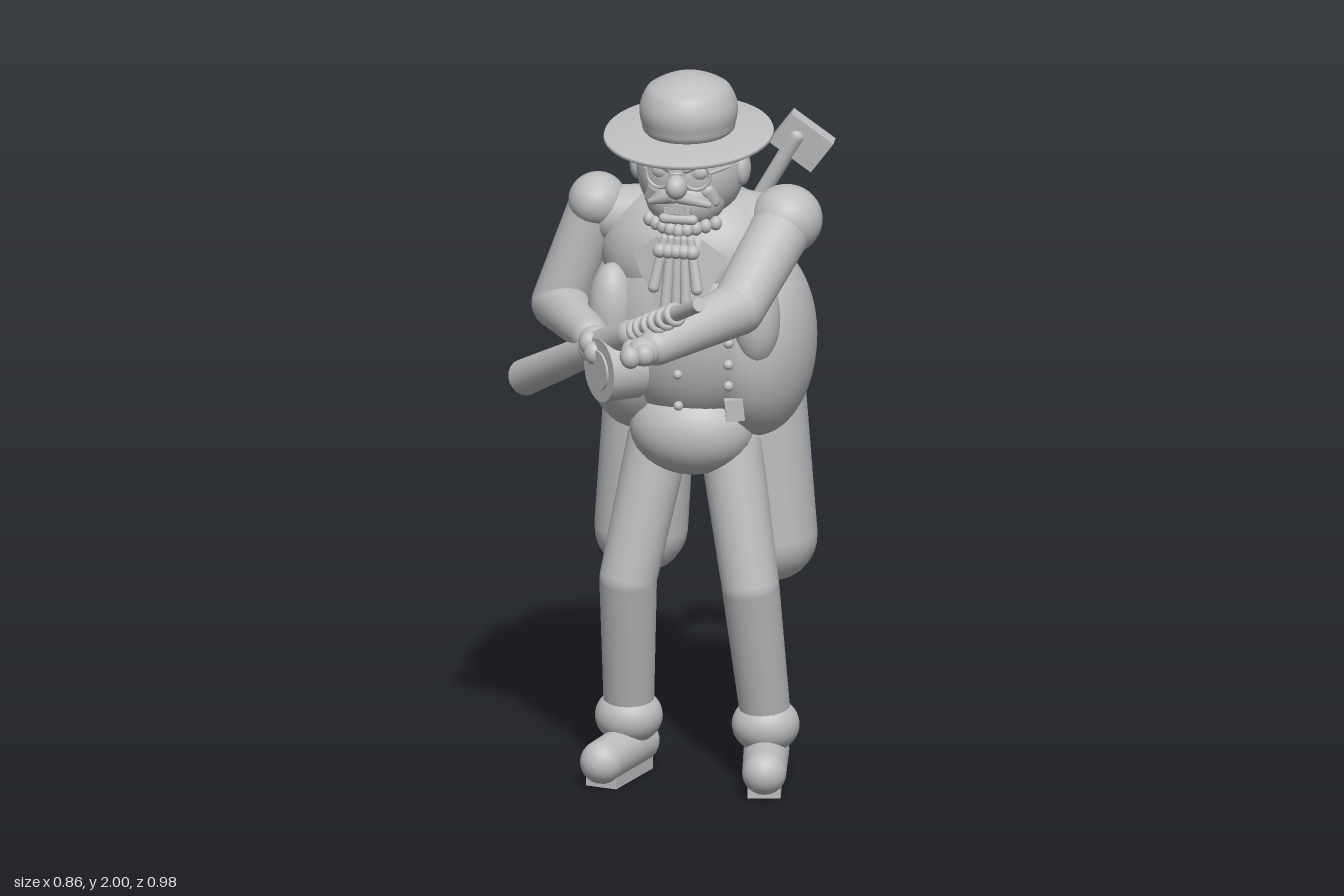
import * as THREE from 'three';

const grey = new THREE.MeshStandardMaterial({ color: 0xbebebe });
grey.name = 'plain grey';
const C = 0.07; // x of the body's middle
const V = (a) => new THREE.Vector3(...a);

export function createModel() {
  const model = new THREE.Group();
  model.name = 'hunter';

  const add = (name, geometry, pos = [0, 0, 0], rot = [0, 0, 0], parent = model) => {
    const m = new THREE.Mesh(geometry, grey);
    m.name = name;
    m.position.set(...pos);
    m.rotation.set(...rot);
    parent.add(m);
    return m;
  };
  const ball = (name, pos, radii, rot) => {
    const m = add(name, new THREE.SphereGeometry(1, 32, 22), pos, rot);
    if (Array.isArray(radii)) m.scale.set(...radii);
    else m.scale.setScalar(radii);
    return m;
  };
  const box = (name, size, pos, rot) => add(name, new THREE.BoxGeometry(...size), pos, rot);
  const aim = (m, a, b) => {
    m.position.copy(V(a));
    m.quaternion.setFromUnitVectors(new THREE.Vector3(0, 1, 0), V(b).sub(V(a)).normalize());
    return m;
  };
  // tapered rod with round ends from a to b
  const limb = (name, a, b, ra, rb = ra) => {
    const len = V(a).distanceTo(V(b));
    const pts = [];
    for (let i = 0; i <= 7; i++) {
      const t = -Math.PI / 2 + (i / 7) * (Math.PI / 2);
      pts.push(new THREE.Vector2(Math.max(0, Math.cos(t) * ra), Math.sin(t) * ra));
    }
    for (let i = 0; i <= 7; i++) {
      const t = (i / 7) * (Math.PI / 2);
      pts.push(new THREE.Vector2(Math.max(0, Math.cos(t) * rb), len + Math.sin(t) * rb));
    }
    return aim(add(name, new THREE.LatheGeometry(pts, 24)), a, b);
  };
  // flat-ended rod from a to b
  const rod = (name, a, b, ra, rb = ra) => {
    const len = V(a).distanceTo(V(b));
    return aim(add(name, new THREE.CylinderGeometry(rb, ra, len, 20).translate(0, len / 2, 0)), a, b);
  };

  // torso
  ball('upperBody', [C, 1.48, -0.19], [0.26, 0.2, 0.2]);
  ball('back', [C, 1.27, -0.22], [0.22, 0.3, 0.22]);
  ball('belly', [C, 1.3, -0.14], [0.24, 0.28, 0.175]);
  ball('pelvis', [C, 1.0, -0.14], [0.17, 0.13, 0.14]);
  limb('neck', [C, 1.5, -0.13], [C, 1.65, -0.12], 0.12, 0.1);
  for (const s of [-1, 1]) {
    ball('coatSide', [C + s * 0.165, 1.235, -0.22], [0.155, 0.265, 0.22]);
    ball('coatFront', [C + s * 0.2, 1.34, -0.05], [0.065, 0.13, 0.07]);
    limb('coatTail', [C + s * 0.15, 1.1, -0.29], [C + s * 0.18, 0.665, -0.3], 0.125, 0.127);
    limb('shoulderSlope', [C + s * 0.08, 1.56, -0.2], [C + s * 0.22, 1.57, -0.18], 0.1, 0.08);
  }

  // legs and shoes
  for (const s of [-1, 1]) {
    const x = (d) => C + s * d;
    limb('thigh', [x(0.1), 0.95, -0.17], [x(0.17), 0.57, -0.11], 0.085, 0.078);
    limb('shin', [x(0.17), 0.57, -0.11], [x(0.19), 0.18, -0.2], 0.078, 0.068);
    ball('ankleCuff', [x(0.19), 0.16, -0.2], [0.092, 0.078, 0.09]);
    limb('shoe', [x(0.18), 0.075, -0.25], [x(0.225), 0.07, -0.04], 0.062, 0.06);
    box('sole', [0.09, 0.045, 0.23], [x(0.202), 0.0225, -0.145], [0, s * 0.21, 0]);
  }

  // hat with a tilted brim
  const brim = new THREE.LatheGeometry([[0, -0.008], [0.222, -0.012], [0.231, -0.006], [0.228, 0.002], [0.13, 0.012], [0, 0.014]]
    .map((p) => new THREE.Vector2(...p)), 48);
  add('hatBrim', brim, [C, 1.837, -0.103], [0.155, 0, 0]);
  const crown = new THREE.LatheGeometry(new THREE.SplineCurve([[0, 0], [0.108, 0], [0.128, 0.035], [0.132, 0.075],
    [0.118, 0.115], [0.098, 0.135], [0.05, 0.157], [0, 0.163]].map((p) => new THREE.Vector2(...p))).getPoints(30)
    .map((p) => p.setX(Math.max(0, p.x))), 40);
  add('hatCrown', crown, [C, 1.838, -0.105], [0.04, 0, 0]).scale.z = 1.08;

  // head and face
  ball('head', [C, 1.735, -0.13], [0.148, 0.155, 0.15]);
  ball('jaw', [C, 1.665, -0.07], [0.11, 0.085, 0.1]);
  ball('nose', [C, 1.72, 0.038], [0.03, 0.034, 0.036]);
  for (const s of [-1, 1]) {
    const x = (d) => C + s * d;
    ball('ear', [x(0.145), 1.74, -0.12], [0.022, 0.048, 0.036]);
    ball('eye', [x(0.05), 1.755, 0.0], [0.028, 0.022, 0.016]);
    limb('eyebrow', [x(0.025), 1.77, 0.028], [x(0.095), 1.795, 0.0], 0.012, 0.008);
    limb('moustache', [x(0.01), 1.69, 0.03], [x(0.08), 1.665, 0.0], 0.018, 0.009);
    add('glassesRing', new THREE.TorusGeometry(0.037, 0.005, 8, 24), [x(0.052), 1.75, 0.024], [0, s * 0.25, 0]);
    limb('glassesArm', [x(0.09), 1.76, 0.015], [x(0.145), 1.76, -0.11], 0.005);
    limb('cheek', [x(0.07), 1.7, -0.02], [x(0.085), 1.67, -0.03], 0.025, 0.02);
  }
  limb('glassesBridge', [C - 0.016, 1.755, 0.03], [C + 0.016, 1.755, 0.03], 0.005);
  limb('lowerLip', [C - 0.04, 1.625, 0.016], [C + 0.04, 1.625, 0.016], 0.014);
  for (let i = -2; i <= 2; i++) box('tooth', [0.013, 0.016, 0.012], [C + i * 0.015, 1.65, 0.025]);

  // collar, ruffled necktie and lapels
  for (let i = -4; i <= 4; i++) {
    ball('collarFold', [C + i * 0.023, 1.59 + Math.abs(i) * 0.004, 0.015 - i * i * 0.003], [0.017, 0.02, 0.018]);
  }
  [[-0.06, 1.44], [-0.03, 1.36], [0, 1.27], [0.03, 1.36], [0.06, 1.44]].forEach(([dx, y]) => {
    limb('tieStrand', [C + dx * 0.6, 1.57, 0.025], [C + dx, y, 0.05], 0.012, 0.016);
    ball('tieKnot', [C + dx * 0.75, 1.54, 0.04], 0.02);
  });
  for (const s of [-1, 1]) {
    const shape = new THREE.Shape([[s * 0.06, 0.1], [s * 0.13, 0.05], [s * 0.11, 0.0], [s * 0.03, -0.14]]
      .map((p) => new THREE.Vector2(...p)));
    add('lapel', new THREE.ExtrudeGeometry(shape, { depth: 0.009, bevelEnabled: false }), [C, 1.47, 0.02], [-0.1, s * 0.2, 0]);
  }

  // buttons, watch chain and pocket boxes
  for (const y of [1.1, 1.19, 1.25]) ball('shirtButton', [C, y, 0.015 + (y - 1.1) * 0.1], 0.013);
  for (let i = 0; i < 4; i++) ball('coatButton', [0.205, 1.16 + i * 0.06, 0.0], 0.014);
  box('frontPouch', [0.05, 0.06, 0.03], [0.217, 1.09, -0.02], [0, 0.3, 0.1]);
  box('backPouch', [0.07, 0.06, 0.05], [0.19, 1.075, -0.41], [0.1, -0.2, 0.1]);
  limb('pouchStrap', [0.2, 1.07, -0.4], [0.26, 1.1, -0.39], 0.012);

  // left arm reaching forward
  ball('leftShoulder', [0.325, 1.59, -0.17], [0.098, 0.095, 0.098]);
  limb('leftUpperArm', [0.325, 1.59, -0.17], [0.25, 1.405, 0.08], 0.085, 0.075);
  limb('leftForearm', [0.25, 1.405, 0.08], [0.085, 1.355, 0.325], 0.075, 0.052);
  ball('leftHand', [0.06, 1.35, 0.365], [0.045, 0.04, 0.045]);
  [[0.02, 1.345, 0.345], [0.025, 1.34, 0.385], [0.035, 1.345, 0.418], [0.07, 1.35, 0.4]]
    .forEach((p) => ball('leftFinger', p, [0.027, 0.03, 0.027]));

  // right arm bent across the waist
  ball('rightShoulder', [-0.2, 1.61, -0.17], [0.078, 0.075, 0.09]);
  limb('rightUpperArm', [-0.2, 1.61, -0.17], [-0.305, 1.315, -0.165], 0.072, 0.075);
  limb('rightForearm', [-0.305, 1.315, -0.165], [-0.165, 1.295, 0.06], 0.075, 0.052);
  ball('rightHand', [-0.14, 1.29, 0.1], [0.045, 0.045, 0.045]);
  [[-0.085, 1.31, 0.1], [-0.1, 1.28, 0.14], [-0.125, 1.28, 0.175], [-0.145, 1.3, 0.15]]
    .forEach((p) => ball('rightFinger', p, [0.027, 0.032, 0.027]));

  // gun: stock, body, ringed barrel and drum
  const along = (t) => [-0.395 + 0.635 * t, 1.105 + 0.42 * t, -0.14 + 0.615 * t];
  rod('gunStock', along(0), along(0.42), 0.05, 0.042);
  limb('gunBody', along(0.4), along(0.6), 0.045, 0.038);
  rod('gunBarrel', along(0.6), along(1), 0.02);
  for (const t of [0.645, 0.68, 0.725, 0.765, 0.81, 0.86]) {
    const ring = add('barrelRing', new THREE.TorusGeometry(0.024, 0.01, 10, 20).rotateX(Math.PI / 2));
    aim(ring, along(t), along(2));
  }
  rod('gunDrum', [-0.105, 1.24, 0.2], [-0.025, 1.24, 0.13], 0.088);
  rod('drumCap', [-0.11, 1.24, 0.205], [-0.1, 1.24, 0.196], 0.055);

  // mallet and slim blade slung on the back
  limb('malletHandle', [0.3, 1.76, -0.39], [-0.13, 1.03, -0.45], 0.022, 0.02);
  box('malletHead', [0.14, 0.105, 0.045], [0.312, 1.745, -0.405], [0.1, 0.1, -0.65]);
  box('backBlade', [0.014, 0.52, 0.03], [C, 1.28, -0.452], [0.1, 0, 0]);
  box('handleSheath', [0.04, 0.2, 0.03], [-0.09, 1.11, -0.45], [0.08, 0, -0.53]);
  return model;
}
